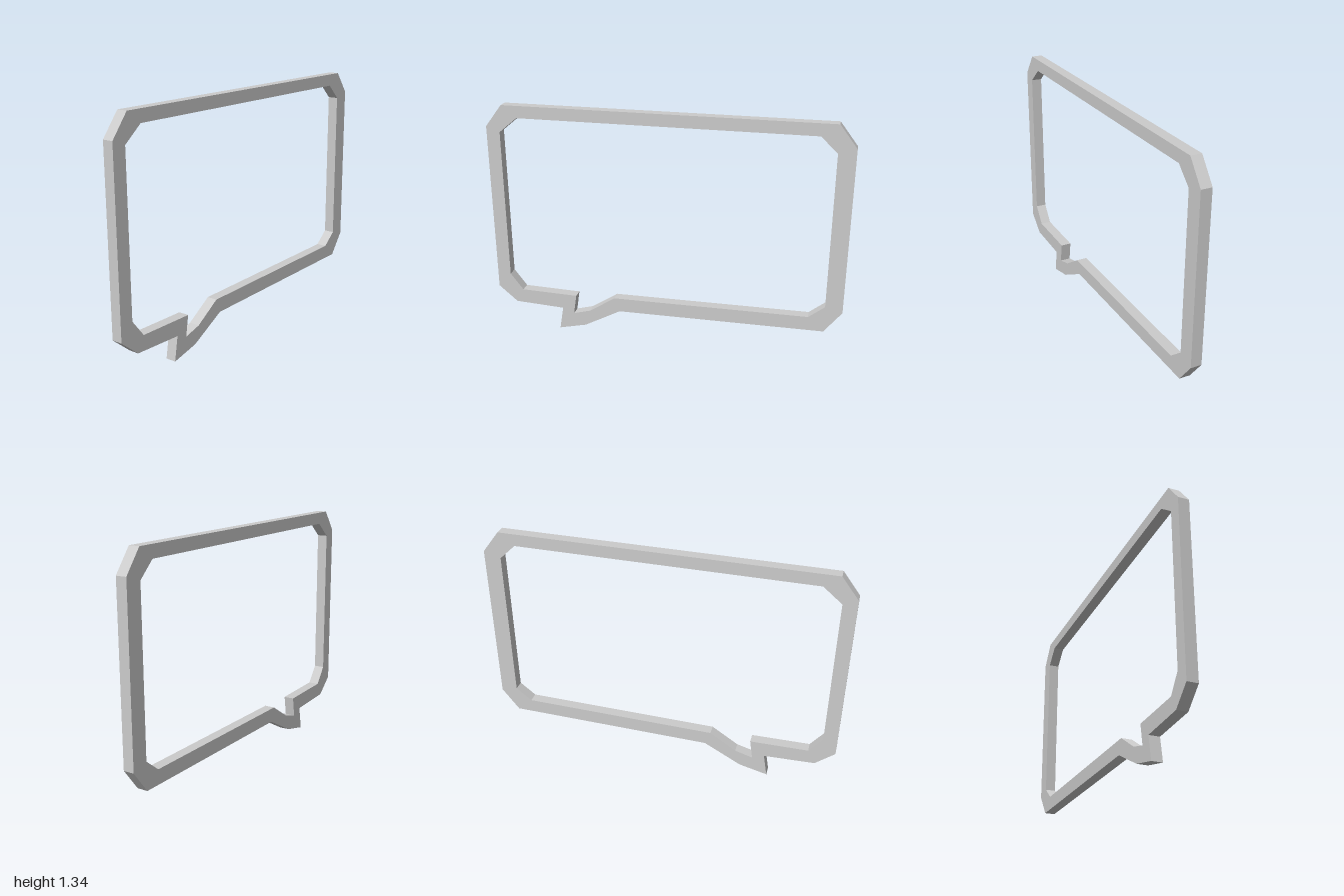
import * as THREE from 'three';

const DEPTH = 0.06;
const toPoints = (list) => list.map(([x, y]) => new THREE.Vector2(x, y));

// Outer edge, clockwise from the top left, with the tail at the lower left
const OUTER = [
  [-0.905, 1.338], [0.905, 1.338], [1, 1.215], [1, 0.288], [0.905, 0.163],
  [-0.26, 0.152], [-0.47, 0.038], [-0.63, 0], [-0.607, 0.135],
  [-0.893, 0.148], [-1, 0.24], [-1, 1.215],
];

// Inner edge, following the outer one corner by corner
const INNER = [
  [-0.82, 1.27], [0.815, 1.27], [0.905, 1.185], [0.905, 0.314], [0.817, 0.243],
  [-0.29, 0.233], [-0.44, 0.135], [-0.54, 0.107], [-0.522, 0.223],
  [-0.85, 0.23], [-0.923, 0.326], [-0.923, 1.185],
];

export function createModel() {
  const group = new THREE.Group();
  group.name = 'speechBubble';

  // Flat frame: outline with the opening cut through, wound the opposite way
  const shape = new THREE.Shape(toPoints(OUTER));
  shape.holes.push(new THREE.Path(toPoints(INNER).reverse()));
  const geometry = new THREE.ExtrudeGeometry(shape, { depth: DEPTH, bevelEnabled: false });
  geometry.translate(0, 0, -DEPTH / 2);

  const material = new THREE.MeshStandardMaterial({ color: 0xcccccc, flatShading: true });
  const frame = new THREE.Mesh(geometry, material);
  frame.name = 'bubbleFrame';
  group.add(frame);
  return group;
}
